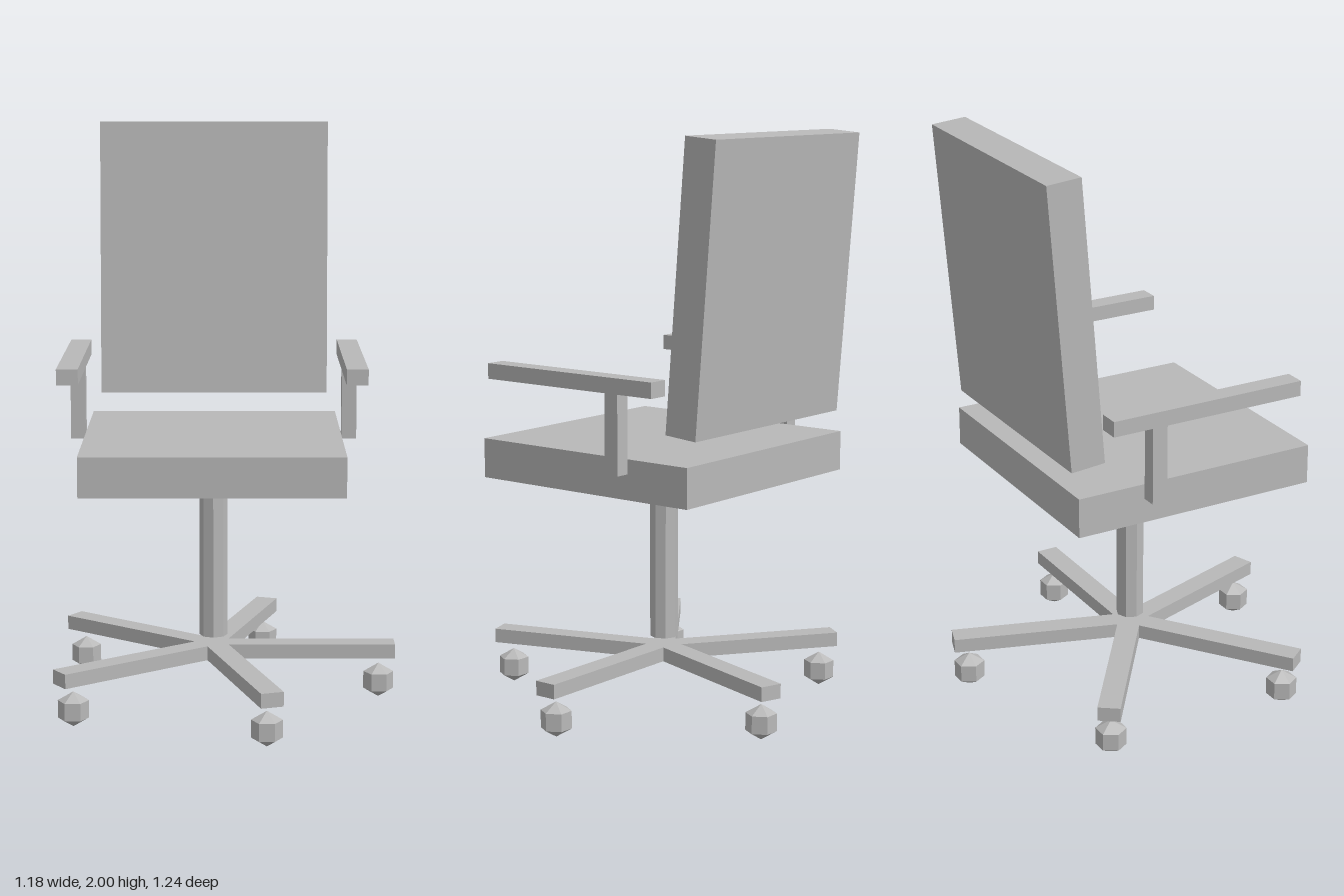
import * as THREE from 'three';

const grey = new THREE.MeshStandardMaterial({ color: 0xb8b8b8 });
grey.name = 'plain grey';
grey.flatShading = true;

const CX = -0.052; // column axis; the five-armed base reaches further to +x
const ARMS = 5;

function add(parent, name, geometry, x, y, z) {
  const mesh = new THREE.Mesh(geometry, grey);
  mesh.name = name;
  mesh.position.set(x, y, z);
  parent.add(mesh);
  return mesh;
}

// Flat star outline: two tip corners per arm, one inner corner between arms
function starBase(reach, halfWidth, height) {
  const points = [];
  const step = (2 * Math.PI) / ARMS;
  const inner = halfWidth / Math.sin(step / 2);
  for (let i = 0; i < ARMS; i++) {
    const a = i * step, c = Math.cos(a), s = Math.sin(a);
    points.push(
      new THREE.Vector2(reach * c + halfWidth * s, reach * s - halfWidth * c),
      new THREE.Vector2(reach * c - halfWidth * s, reach * s + halfWidth * c),
      new THREE.Vector2(inner * Math.cos(a + step / 2), inner * Math.sin(a + step / 2))
    );
  }
  const geometry = new THREE.ExtrudeGeometry(new THREE.Shape(points), { depth: height, bevelEnabled: false });
  return geometry.rotateX(-Math.PI / 2);
}

export function createModel() {
  const chair = new THREE.Group();
  chair.name = 'officeChair';

  // Base and casters
  add(chair, 'starBase', starBase(0.637, 0.039, 0.05), CX, 0.149, 0);
  const caster = new THREE.SphereGeometry(0.061, 6, 3);
  for (let i = 0; i < ARMS; i++) {
    const a = (i * 2 * Math.PI) / ARMS;
    add(chair, 'caster', caster, CX + 0.582 * Math.cos(a), 0.061, 0.582 * Math.sin(a));
  }

  // Column and seat
  add(chair, 'column', new THREE.CylinderGeometry(0.049, 0.049, 0.585, 8), CX, 0.519, 0);
  add(chair, 'seat', new THREE.BoxGeometry(0.884, 0.137, 0.882), CX, 0.878, 0);

  // Backrest, leaning back
  const back = add(chair, 'backrest', new THREE.BoxGeometry(0.812, 0.968, 0.122), CX, 1.513, -0.425);
  back.rotation.x = -0.08;

  // Armrests
  for (const side of [-1, 1]) {
    const armrest = new THREE.Group();
    armrest.name = side > 0 ? 'leftArmrest' : 'rightArmrest';
    armrest.position.x = CX + side * 0.478;
    add(armrest, 'armPost', new THREE.BoxGeometry(0.052, 0.272, 0.054), 0, 1.035, -0.177);
    add(armrest, 'armPad', new THREE.BoxGeometry(0.072, 0.053, 0.705), 0, 1.197, 0);
    chair.add(armrest);
  }
  return chair;
}
